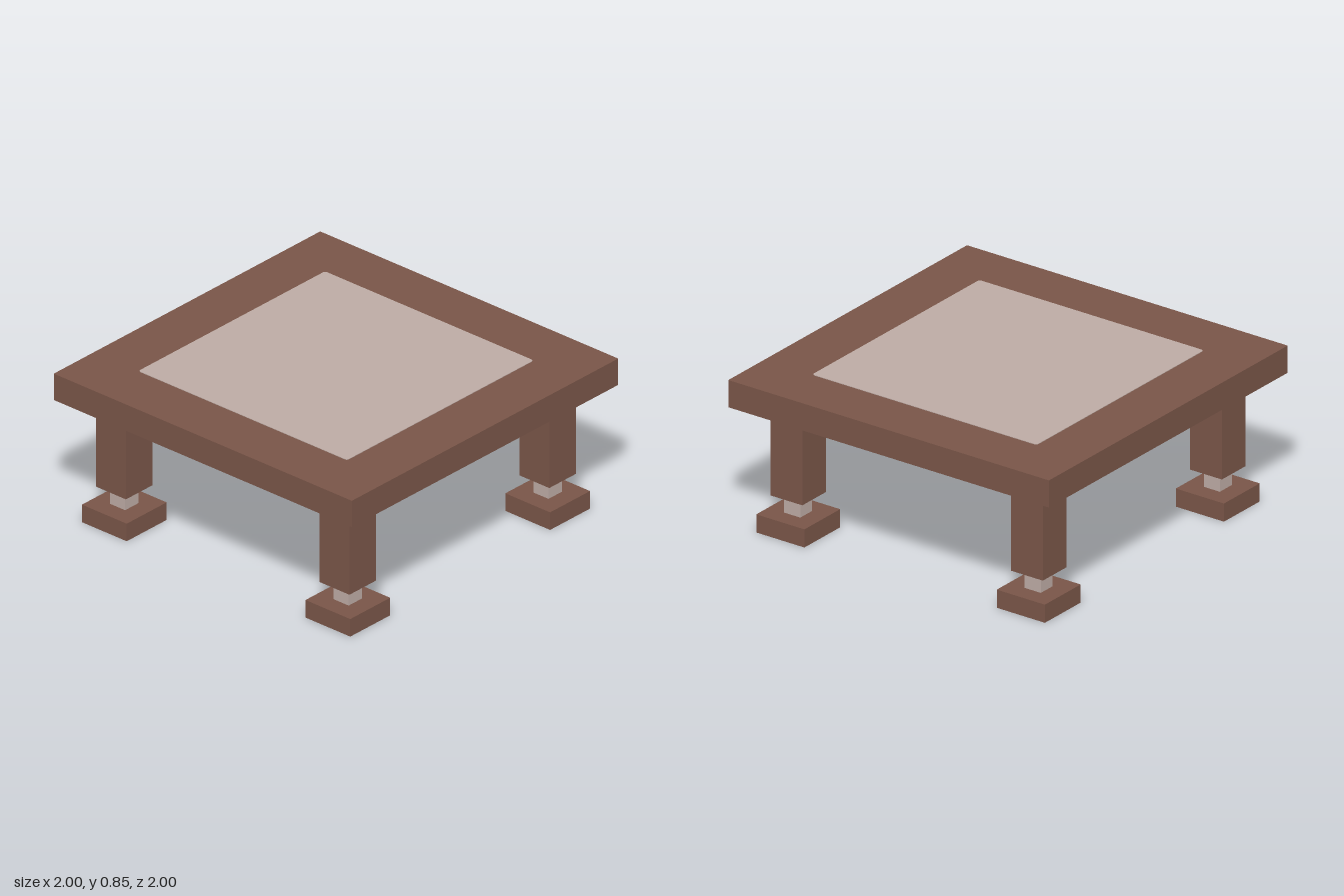
import * as THREE from 'three';

const wood = new THREE.MeshStandardMaterial({ color: 0x795548 });
wood.name = 'brown wood';
const pale = new THREE.MeshStandardMaterial({ color: 0xbcaaa4 });
pale.name = 'pale inlay';

// Box resting on height y
function box(name, w, h, d, y, material) {
  const mesh = new THREE.Mesh(new THREE.BoxGeometry(w, h, d), material);
  mesh.name = name;
  mesh.position.y = y + h / 2;
  return mesh;
}

// Square outline with small rounded corners
function roundedSquare(half, r) {
  const s = new THREE.Shape();
  const k = half - r;
  s.absarc(k, k, r, 0, Math.PI / 2);
  s.absarc(-k, k, r, Math.PI / 2, Math.PI);
  s.absarc(-k, -k, r, Math.PI, Math.PI * 1.5);
  s.absarc(k, -k, r, Math.PI * 1.5, Math.PI * 2);
  s.closePath();
  return s;
}

// Leg post, narrow neck and square foot
function createLeg(x, z) {
  const leg = new THREE.Group();
  leg.name = 'leg';
  leg.add(
    box('post', 0.2, 0.5, 0.2, 0.2, wood),
    box('neck', 0.1, 0.1, 0.1, 0.1, pale),
    box('foot', 0.3, 0.1, 0.3, 0, wood)
  );
  leg.position.set(x, 0, z);
  return leg;
}

export function createModel() {
  const table = new THREE.Group();
  table.name = 'table';

  table.add(box('tabletop', 2, 0.15, 2, 0.7, wood));

  // Thin inlay on the tabletop
  const inlay = new THREE.Mesh(
    new THREE.ExtrudeGeometry(roundedSquare(0.7, 0.015), { depth: 0.003, bevelEnabled: false, curveSegments: 4 }),
    pale
  );
  inlay.name = 'inlay';
  inlay.rotation.x = -Math.PI / 2;
  inlay.position.y = 0.85;
  table.add(inlay);

  for (const x of [-0.75, 0.75]) {
    for (const z of [-0.75, 0.75]) table.add(createLeg(x, z));
  }
  return table;
}
